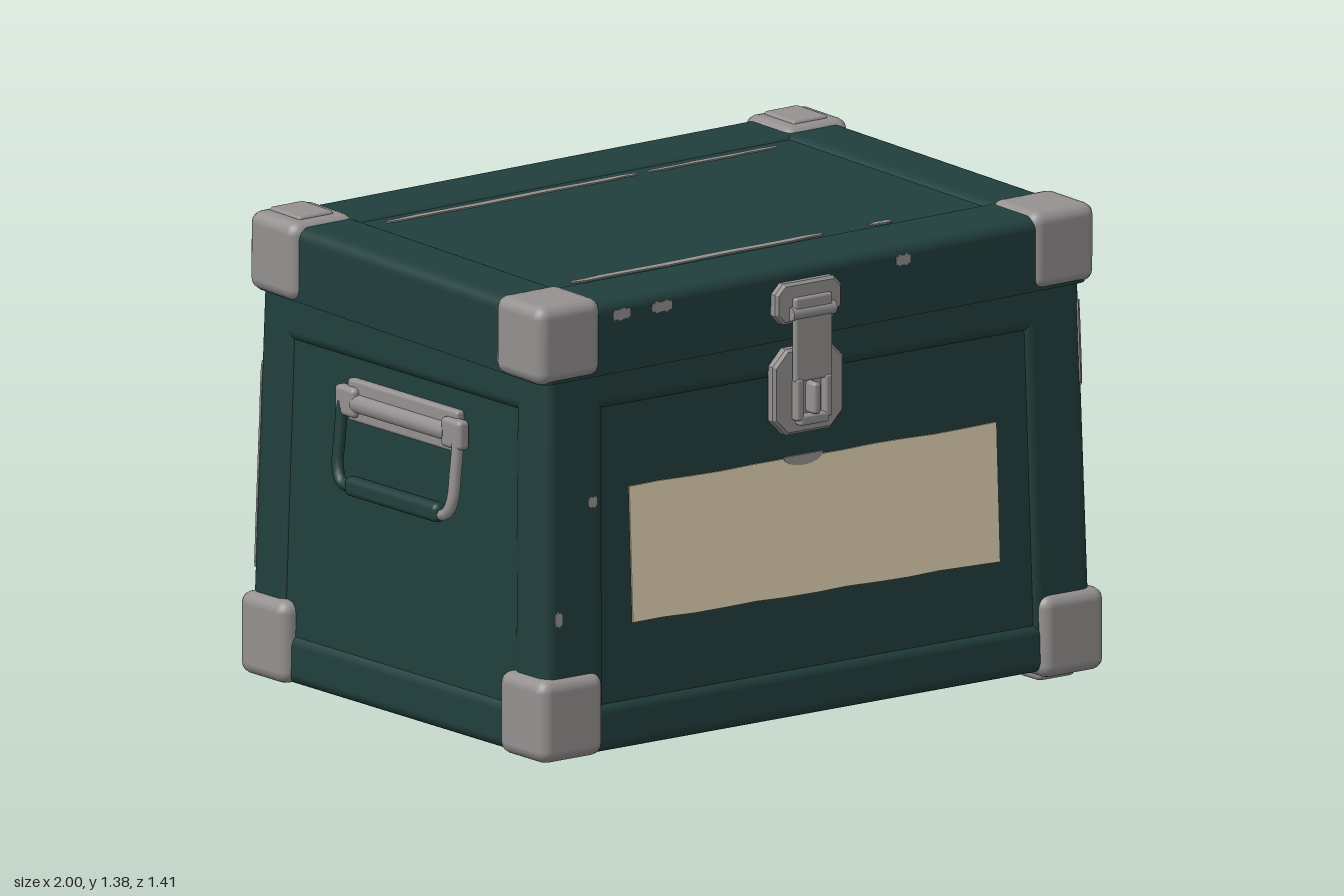
import * as THREE from 'three';
import { RoundedBoxGeometry } from 'three/addons/geometries/RoundedBoxGeometry.js';

const mat = (name, color) => Object.assign(new THREE.MeshStandardMaterial({ color }), { name });

export function createModel() {
  const green = mat('dark green paint', 0x213f3d);
  const grey = mat('bare metal', 0x949190);
  const cream = mat('cream label', 0xe5d4b5);
  const brown = mat('brown rust', 0x98755e);

  const root = new THREE.Group();
  root.name = 'trunk';

  const add = (parent, name, geo, material, x = 0, y = 0, z = 0) => {
    const m = new THREE.Mesh(geo, material);
    m.name = name;
    m.position.set(x, y, z);
    parent.add(m);
    return m;
  };
  const group = (parent, name, x = 0, y = 0, z = 0) => {
    const g = new THREE.Group();
    g.name = name;
    g.position.set(x, y, z);
    parent.add(g);
    return g;
  };
  const box = (w, h, d, r = 0.01) => new RoundedBoxGeometry(w, h, d, 2, r);

  // Rounded beam whose base is at height y; the case narrows upwards, and a cut flattens the underside
  const TAPER = { x: 0.027, z: 0.045, height: 1.155 };
  const beam = (w, h, d, r, x, y, z, narrow, cut = 0) => {
    const geo = new RoundedBoxGeometry(w, h + cut, d, 4, r);
    geo.translate(x, y + (h - cut) / 2, z);
    const pos = geo.attributes.position;
    for (let i = 0; i < pos.count; i++) {
      const py = Math.max(y, pos.getY(i));
      const t = narrow ? py / TAPER.height : 0;
      pos.setXYZ(i, pos.getX(i) * (1 - TAPER.x * t), py, pos.getZ(i) * (1 - TAPER.z * t));
    }
    return geo;
  };

  // Flat outline cut from a sheet, facing +z
  const plate = (pts, depth = 0.006, bevel = 0) => {
    const shape = new THREE.Shape(pts.map(([x, y]) => new THREE.Vector2(x, y)));
    return new THREE.ExtrudeGeometry(shape, {
      depth, bevelEnabled: bevel > 0, bevelSize: bevel, bevelThickness: bevel, bevelSegments: 1, bevelOffset: -bevel,
    });
  };

  // Ragged patch of worn paint
  const scuff = (w, h, seed = 1) => {
    const pts = [];
    const n = 22;
    for (let i = 0; i < n; i++) {
      const a = (i / n) * Math.PI * 2;
      const c = Math.cos(a), s = Math.sin(a);
      const wob = 1 + 0.22 * Math.sin(i * 2.3 + seed * 1.7);
      pts.push([Math.sign(c) * Math.abs(c) ** 0.7 * w / 2, Math.sign(s) * Math.abs(s) ** 0.4 * h / 2 * wob]);
    }
    return plate(pts, 0.005);
  };

  // Body: sunken panels framed by posts and rails; the top is hidden inside the lid
  const SINK = 0.012;
  const body = group(root, 'body', 0, 0.045, -0.008);
  add(body, 'bodyPanels', beam(1.91 - 2 * SINK, 1.12, 1.354 - 2 * SINK, 0.03, 0, SINK, 0, true), green);
  for (const s of [-1, 1]) {
    for (const [h, y] of [[0.145, 0], [0.19, 0.965]]) {
      add(body, 'longRail', beam(1.91, h, 0.22, 0.035, 0, y, s * 0.567, true), green);
      add(body, 'shortRail', beam(0.21, h, 1.354, 0.035, s * 0.85, y, 0, true), green);
    }
    for (const sx of [-1, 1])
      add(body, 'cornerPost', beam(0.21, 1.155, 0.16, 0.035, sx * 0.85, 0, s * 0.597, true), green);
  }

  // Lid, sitting slightly askew, with a framed top
  const lid = group(root, 'lid', 0, 1.24, -0.004);
  lid.rotation.set(0.022, 0, 0.009);
  add(lid, 'lidPanel', beam(1.86, 0.21 - SINK, 1.27, 0.03, 0, -0.105, 0, false, 0.05), green);
  for (const s of [-1, 1]) {
    add(lid, 'lidLongRail', beam(1.9, 0.21, 0.22, 0.035, 0, -0.105, s * 0.545, false, 0.05), green);
    add(lid, 'lidShortRail', beam(0.21, 0.21, 1.31, 0.035, s * 0.845, -0.105, 0, false, 0.05), green);
  }

  // Metal corner caps
  for (const sx of [-1, 1]) for (const sz of [-1, 1]) {
    add(root, 'bottomCorner', box(0.22, 0.235, 0.212, 0.035), grey, sx * 0.872, 0.155 - sx * 0.008, sz * 0.587 - 0.004);
    if (sx > 0) add(root, 'cornerFoot', box(0.13, 0.04, 0.1, 0.015), grey, 0.87, 0.025, sz * 0.56);
    add(lid, 'lidCorner', box(0.22, 0.225, 0.215, 0.035), grey, sx * 0.86, 0.006, sz * 0.557);
    if (sz < 0) add(lid, 'lidCornerRim', box(0.12, 0.02, 0.14, 0.009), grey, sx * 0.86, 0.117, -0.56);
  }

  // Sunken front and back surfaces, following the lean of the walls
  const wall = (name, turn) => {
    const g = group(body, name);
    g.rotation.y = turn;
    const face = group(g, name + 'Face', 0, 0, 0.677 - SINK);
    face.rotation.x = -0.0264;
    return face;
  };
  const front = wall('front', 0);
  const back = wall('back', Math.PI);

  // Paper label with softly uneven edges
  const label = [];
  for (let i = 0; i <= 12; i++) label.push([-0.64 + i * 0.1065, 0.352 - i * 0.0013 + 0.002 * Math.sin(i * 2)]);
  for (let i = 12; i >= 0; i--) label.push([-0.645 + i * 0.1065, 0.738 - i * 0.0008 + 0.002 * Math.sin(i * 1.7)]);
  add(front, 'label', plate(label, 0.006), cream, 0, 0, -0.002);

  // Worn half-moon below the latch and small chips
  const moon = [];
  for (let i = 0; i <= 8; i++) moon.push([0.07 * Math.cos(Math.PI * (1 + i / 8)), 0.03 * Math.sin(Math.PI * (1 + i / 8))]);
  add(front, 'wornMoon', plate(moon, 0.006), grey, -0.04, 0.74, 0);
  add(front, 'wornSpot', scuff(0.03, 0.03, 3), grey, -0.78, 0.715, SINK - 0.003);
  add(front, 'wornSpot', scuff(0.025, 0.04, 4), grey, -0.905, 0.4, SINK - 0.003);

  // Rust patch on the back, outlined in model x and height
  const rust = [[.63, .53], [.53, .54], [.43, .557], [.31, .637], [.31, .707], [.21, .76], [.17, .82], [.03, .85],
    [-.03, .925], [-.15, .935], [-.35, .95], [-.31, .37], [-.09, .377], [.07, .373], [.13, .39], [.19, .363],
    [.31, .39], [.43, .395], [.41, .42], [.53, .433], [.51, .48], [.41, .49], [.51, .517], [.59, .503]];
  add(back, 'rustPatch', plate(rust.map(([x, y]) => [-x, y - 0.045]), 0.006), brown, 0, 0, -0.002);
  for (const [x, y, w, h] of [[0.18, 1.022, 0.24, 0.045], [-0.01, 1.02, 0.14, 0.035], [-0.17, 1.02, 0.18, 0.04],
    [0.25, 0.06, 0.12, 0.03], [-0.3, 0.06, 0.16, 0.03], [-0.55, 0.06, 0.08, 0.03]])
    add(back, 'wornSpot', scuff(w, h, x * 20), grey, x, y, SINK - 0.003);

  // Worn paint along the upright edges
  for (const [sx, sz, y, h] of [[-1, -1, 0.535, 0.4], [-1, -1, 0.815, 0.12], [1, 1, 0.915, 0.22], [1, -1, 0.905, 0.22]]) {
    const t = y / TAPER.height;
    const m = add(body, 'wornEdge', scuff(0.03, h, y * 9), grey,
      sx * 0.944 * (1 - TAPER.x * t), y, sz * 0.666 * (1 - TAPER.z * t));
    m.rotation.set(-0.034, Math.atan2(sx, sz), 0, 'YXZ');
  }

  // Worn paint on the lid
  for (const [x, z, w, h] of [[-0.25, -0.4, 0.88, 0.024], [0.45, -0.4, 0.46, 0.018], [-0.23, 0.41, 0.88, 0.027],
    [0.41, 0.41, 0.07, 0.02]])
    add(lid, 'wornStrip', scuff(w, h, x * 9), grey, x, 0.092, z).rotation.x = -Math.PI / 2;
  for (const [x, w] of [[-0.68, 0.06], [-0.54, 0.07], [0.3, 0.05]])
    add(lid, 'wornSpot', scuff(w, 0.03, x * 9), grey, x, 0.06, 0.652);
  add(lid, 'wornSpot', scuff(0.07, 0.03, 5), grey, 0.947, 0.06, 0.15).rotation.y = Math.PI / 2;

  // Front latch
  const latch = group(root, 'latch', -0.04, 0, 0.64);
  const oct = (w, h, c) => [[-w + c, -h], [w - c, -h], [w, -h + c], [w, h - c], [w - c, h], [-w + c, h], [-w, h - c], [-w, -h + c]];
  add(latch, 'upperPlate', plate(oct(0.115, 0.058, 0.028), 0.025, 0.008), grey, -0.005, 1.228, 0.004);
  add(latch, 'lowerPlate', plate(oct(0.122, 0.122, 0.045), 0.022, 0.008), grey, 0, 0.975, 0);
  add(latch, 'strap', box(0.13, 0.24, 0.02, 0.008), grey, 0, 1.125, 0.043);
  for (const s of [-1, 1]) add(latch, 'loopSide', box(0.025, 0.12, 0.03, 0.008), grey, s * 0.05, 0.955, 0.042);
  add(latch, 'loopEnd', box(0.1, 0.03, 0.03, 0.008), grey, 0, 0.895, 0.042);
  add(latch, 'staple', box(0.026, 0.09, 0.05, 0.01), grey, 0, 0.955, 0.045);
  add(latch, 'upperRoll', new THREE.CylinderGeometry(0.02, 0.02, 0.15, 10), grey, 0, 1.2, 0.04).rotation.z = Math.PI / 2;

  // Side handles
  for (const turn of [0, Math.PI]) {
    const h = group(root, 'sideHandle');
    h.rotation.y = turn;
    add(h, 'bracketPlate', box(0.03, 0.12, 0.5, 0.01), grey, 0.932, 0.905, -0.005);
    add(h, 'bracketRoll', new THREE.CylinderGeometry(0.027, 0.027, 0.42, 10), grey, 0.944, 0.9, -0.005).rotation.x = Math.PI / 2;
    for (const s of [-1, 1]) {
      add(h, 'bracketEnd', box(0.04, 0.085, 0.09, 0.014), grey, 0.947, 0.902, -0.005 + s * 0.24);
      const path = new THREE.CatmullRomCurve3([[0.952, 0.9, 0.262], [0.962, 0.8, 0.262], [0.972, 0.71, 0.258],
        [0.976, 0.675, 0.235], [0.976, 0.67, 0.18]].map(([x, y, z]) => new THREE.Vector3(x, y, s * z - 0.005)));
      add(h, 'bail', new THREE.TubeGeometry(path, 14, 0.017, 8), s < 0 ? grey : green);
    }
    add(h, 'grip', box(0.045, 0.055, 0.42, 0.018), green, 0.9775, 0.675, -0.015);
  }

  // Back hinges
  for (const x of [-0.53, 0.51]) {
    const g = group(root, 'hinge', x, 0, -0.658);
    add(g, 'upperLeaf', box(0.24, 0.075, 0.025, 0.008), grey, 0, 1.212, -0.004);
    add(g, 'lowerLeaf', box(0.25, 0.1, 0.02, 0.008), grey, 0, 1.085, 0);
    add(g, 'barrel', new THREE.CylinderGeometry(0.027, 0.027, 0.32, 10), grey, 0, 1.15, -0.018).rotation.z = Math.PI / 2;
    add(g, 'lowerLip', new THREE.CylinderGeometry(0.024, 0.024, 0.25, 10), grey, 0, 1.055, -0.016).rotation.z = Math.PI / 2;
  }

  return root;
}
